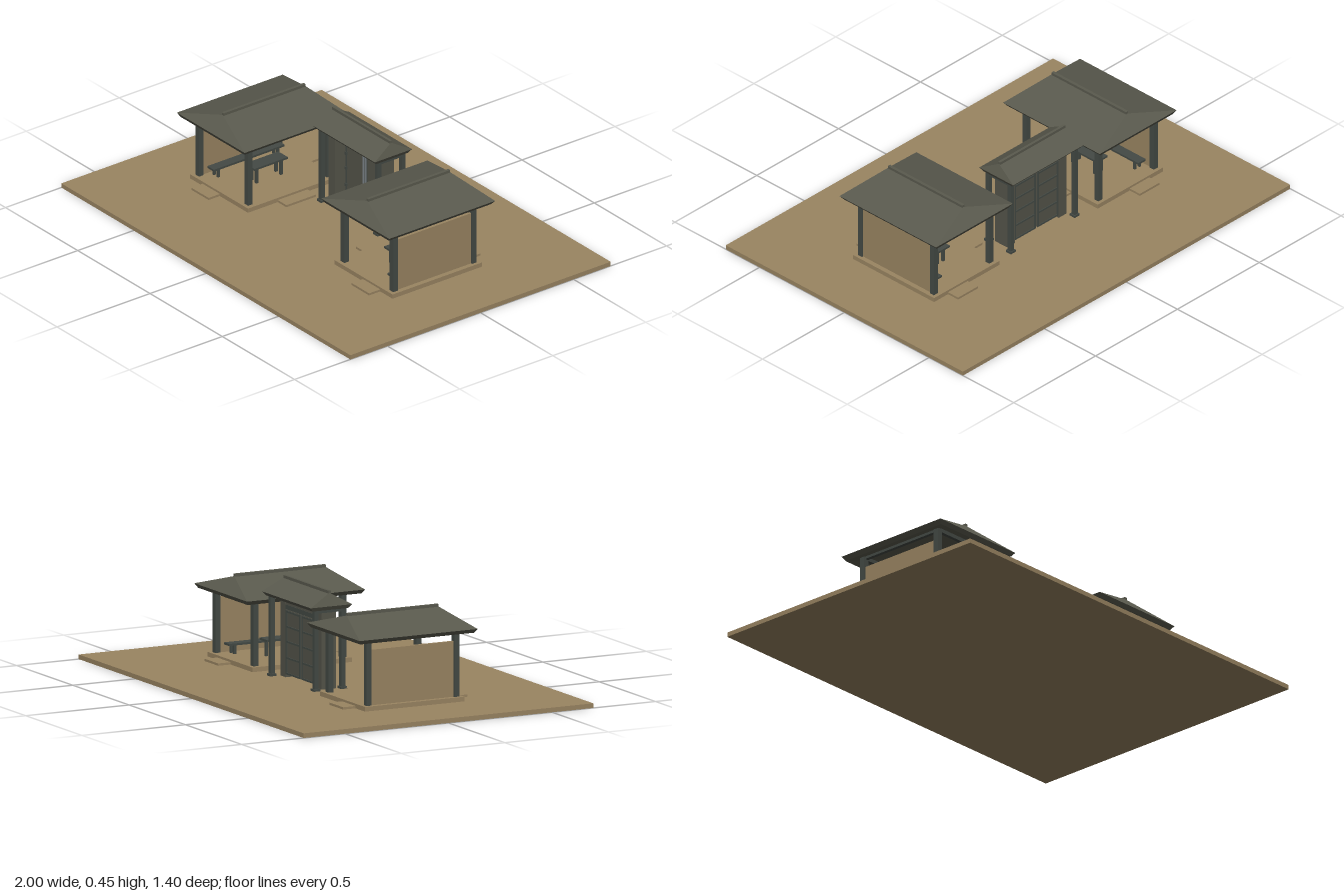
import * as THREE from 'three';

const mat = (name, color, side = THREE.FrontSide) => {
  const m = new THREE.MeshStandardMaterial({ color, side });
  m.name = name;
  return m;
};

export function createModel() {
  const earth = mat('sandy earth', 0x9a8562);
  const roofing = mat('grey roof', 0x5a5a4e, THREE.DoubleSide);
  const timber = mat('dark timber', 0x444a45);
  const panel = mat('grey door panel', 0x55554a);
  const steel = mat('pale metal', 0x7d858a);

  const add = (parent, name, geometry, material) => {
    const mesh = new THREE.Mesh(geometry, material);
    mesh.name = name;
    parent.add(mesh);
    return mesh;
  };
  // Box given by its lower and upper limits
  const box = (parent, name, material, x0, x1, y0, y1, z0, z1) => {
    const mesh = add(parent, name, new THREE.BoxGeometry(x1 - x0, y1 - y0, z1 - z0), material);
    mesh.position.set((x0 + x1) / 2, (y0 + y1) / 2, (z0 + z1) / 2);
    return mesh;
  };

  // Hollow hipped roof with its ridge along z: outer shell, eave band and inner shell
  const hipRoof = (halfX, halfZ, ridgeZ, eave, ridge, thick) => {
    const ring = (x, z, y) => [[x, y, z], [x, y, -z], [-x, y, -z], [-x, y, z]];
    const outer = ring(halfX, halfZ, eave);
    const inner = ring(halfX - 0.015, halfZ - 0.01, eave - thick);
    const pos = [];
    const tri = (...p) => p.forEach((v) => pos.push(...v));
    const quad = (a, b, c, d) => tri(a, b, c, a, c, d);
    const shell = ([a, b, c, d], y, rz) => {
      const f = [0, y, rz], k = [0, y, -rz];
      quad(a, b, k, f);
      quad(c, d, f, k);
      tri(d, a, f);
      tri(b, c, k);
    };
    shell(outer, ridge, ridgeZ);
    for (let i = 0; i < 4; i++) {
      const j = (i + 1) % 4;
      quad(inner[i], inner[j], outer[j], outer[i]);
    }
    const split = pos.length;
    shell(inner, ridge - thick, ridgeZ - 0.01);
    // Inner shell faces downwards
    for (let i = split; i < pos.length; i += 9) {
      for (let k = 0; k < 3; k++) [pos[i + 3 + k], pos[i + 6 + k]] = [pos[i + 6 + k], pos[i + 3 + k]];
    }
    const g = new THREE.BufferGeometry();
    g.setAttribute('position', new THREE.Float32BufferAttribute(pos, 3));
    g.computeVertexNormals();
    return g;
  };

  const model = new THREE.Group();
  model.name = 'courtyardPavilions';
  box(model, 'ground', earth, -1, 1, 0, 0.02, -0.7, 0.7);

  // Pavilion, open towards -x with its wall on +x
  const pavilion = (name) => {
    const g = new THREE.Group();
    g.name = name;
    box(g, 'platform', earth, -0.2, 0.2, 0.02, 0.04, -0.24, 0.24);
    box(g, 'sideStep', earth, -0.26, -0.2, 0.02, 0.03, -0.08, 0.08);
    box(g, 'backWall', earth, 0.165, 0.178, 0.04, 0.28, -0.2, 0.2);
    for (const s of [-1, 1]) {
      const z = s * 0.27;
      box(g, 'endStep', earth, -0.005, 0.115, 0.02, 0.03, z - 0.03, z + 0.03);
      box(g, 'endBeam', timber, -0.18, 0.18, 0.318, 0.335, s * 0.212 - 0.008, s * 0.212 + 0.008);
      box(g, 'sideBeam', timber, s * 0.17 - 0.008, s * 0.17 + 0.008, 0.318, 0.335, -0.21, 0.21);
      for (const x of [-0.167, 0.172]) {
        box(g, 'post', timber, x - 0.013, x + 0.013, 0.04, 0.33, s * 0.212 - 0.012, s * 0.212 + 0.012);
      }
      // Table and bench legs
      for (const x of [-0.035, 0.0]) {
        box(g, 'tableLeg', timber, x - 0.006, x + 0.006, 0.04, 0.112, s * 0.065 - 0.006, s * 0.065 + 0.006);
      }
      for (const x of [0.108, 0.137]) {
        box(g, 'benchLeg', timber, x - 0.005, x + 0.005, 0.04, 0.078, s * 0.16 - 0.006, s * 0.16 + 0.006);
      }
    }
    box(g, 'tableTop', timber, -0.051, 0.015, 0.111, 0.12, -0.09, 0.09);
    box(g, 'benchSeat', timber, 0.1, 0.145, 0.077, 0.086, -0.19, 0.19);
    add(g, 'roof', hipRoof(0.235, 0.285, 0.22, 0.335, 0.4, 0.018), roofing);
    box(g, 'ridgeBeam', roofing, -0.007, 0.007, 0.393, 0.41, -0.22, 0.22);
    // Hanging lamp under the ridge
    const cord = add(g, 'lampCord', new THREE.CylinderGeometry(0.002, 0.002, 0.07, 6), timber);
    cord.position.y = 0.35;
    const lamp = add(g, 'lamp', new THREE.SphereGeometry(0.007, 10, 8), timber);
    lamp.position.y = 0.316;
    model.add(g);
    return g;
  };
  pavilion('leftPavilion').position.x = 0.5;
  const right = pavilion('rightPavilion');
  right.position.x = -0.5;
  right.rotation.y = Math.PI;

  // Gate between the pavilions, built around its own ridge line
  const gate = new THREE.Group();
  gate.name = 'gate';
  gate.position.z = -0.14;
  model.add(gate);
  const gateRoof = add(gate, 'gateRoof', hipRoof(0.1, 0.217, 0.2, 0.384, 0.44, 0.017), roofing);
  gateRoof.rotation.y = Math.PI / 2;
  box(gate, 'gateRidge', roofing, -0.2, 0.2, 0.434, 0.449, -0.006, 0.006);
  for (const s of [-1, 1]) {
    for (const z of [-0.065, 0.065]) {
      const x = s * 0.195;
      box(gate, 'gatePost', timber, x - 0.01, x + 0.01, 0.02, 0.375, z - 0.01, z + 0.01);
      box(gate, 'postFoot', timber, x - 0.015, x + 0.015, 0.02, 0.03, z - 0.015, z + 0.015);
    }
    box(gate, 'gateBeam', timber, -0.2, 0.2, 0.362, 0.378, s * 0.065 - 0.008, s * 0.065 + 0.008);
    box(gate, 'crossBeam', timber, s * 0.195 - 0.008, s * 0.195 + 0.008, 0.355, 0.37, -0.07, 0.07);
    box(gate, 'jamb', panel, s * 0.158 - 0.024, s * 0.158 + 0.024, 0.02, 0.365, -0.03, 0.04);
    // Door leaf with rails on both faces
    const cx = s * 0.07;
    box(gate, 'doorLeaf', panel, cx - 0.064, cx + 0.064, 0.035, 0.312, -0.026, -0.018);
    for (const y of [0.037, 0.105, 0.175, 0.24, 0.305]) {
      box(gate, 'doorRail', timber, cx - 0.064, cx + 0.064, y - 0.004, y + 0.004, -0.03, -0.026);
    }
    for (const x of [cx - 0.06, cx + 0.06]) {
      box(gate, 'doorStile', timber, x - 0.004, x + 0.004, 0.033, 0.312, -0.03, -0.014);
    }
    for (const y of [0.1, 0.18, 0.25]) {
      box(gate, 'hinge', timber, s * 0.13 - 0.006, s * 0.13 + 0.006, y - 0.007, y + 0.007, -0.018, -0.01);
    }
    box(gate, 'doorPull', steel, s * 0.008 - 0.004, s * 0.008 + 0.004, 0.035, 0.31, -0.016, -0.012);
  }
  box(gate, 'lintel', timber, -0.135, 0.135, 0.315, 0.335, -0.03, 0.0);
  box(gate, 'transom', panel, -0.135, 0.135, 0.335, 0.365, -0.028, -0.015);
  const gateLamp = add(gate, 'gateLamp', new THREE.SphereGeometry(0.008, 10, 8), timber);
  gateLamp.position.set(0, 0.362, 0.03);

  return model;
}
